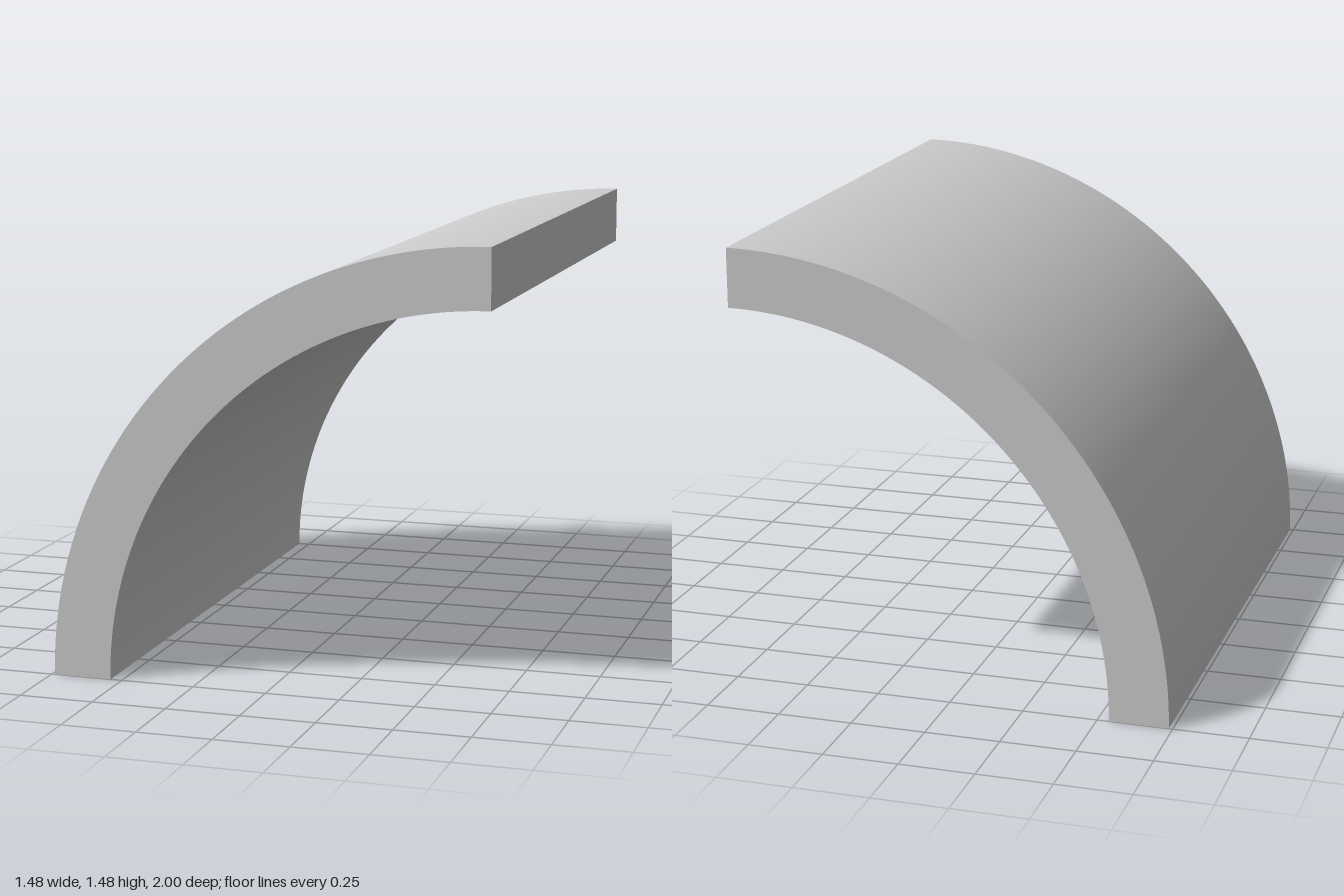
import * as THREE from 'three';
import { toCreasedNormals } from 'three/addons/utils/BufferGeometryUtils.js';

export function createModel() {
  const group = new THREE.Group();
  group.name = 'quarterArch';

  const outer = 1.475, inner = 1.277, length = 2;

  // Quarter ring section, from the foot at -x up to the crown at +x
  const section = new THREE.Shape();
  section.absarc(0, 0, outer, Math.PI / 2, Math.PI, false);
  section.absarc(0, 0, inner, Math.PI, Math.PI / 2, true);
  section.closePath();

  const extruded = new THREE.ExtrudeGeometry(section, {
    depth: length, bevelEnabled: false, curveSegments: 64,
  });
  extruded.translate(outer / 2, 0, -length / 2);

  // Smooth curved faces with sharp edges
  const shell = new THREE.Mesh(
    toCreasedNormals(extruded, Math.PI / 6),
    new THREE.MeshStandardMaterial({ color: 0xcccccc })
  );
  shell.name = 'curvedShell';
  group.add(shell);

  return group;
}
